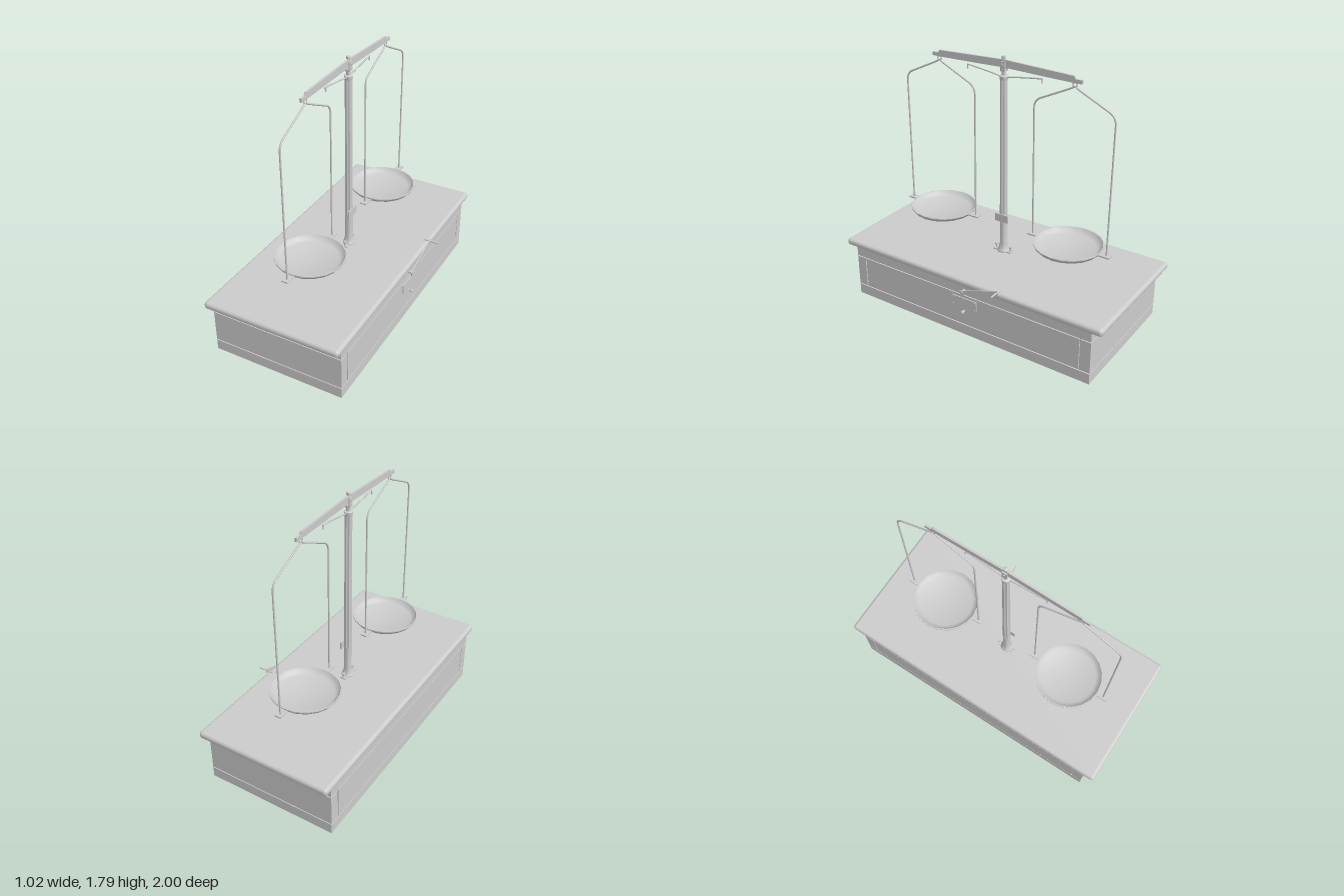
import * as THREE from 'three';
import { toCreasedNormals } from 'three/addons/utils/BufferGeometryUtils.js';
import { RoundedBoxGeometry } from 'three/addons/geometries/RoundedBoxGeometry.js';

const V = (x, y, z) => new THREE.Vector3(x, y, z);
const CX = -0.037; // x of the column and beam plane

export function createModel() {
  const root = new THREE.Group();
  const mat = new THREE.MeshStandardMaterial({ color: 0xcccccc });
  const thin = new THREE.MeshStandardMaterial({ color: 0xcccccc, side: THREE.DoubleSide });

  function add(name, geo, x = 0, y = 0, z = 0, parent = root, material = mat) {
    const m = new THREE.Mesh(geo, material);
    m.name = name;
    m.position.set(x, y, z);
    parent.add(m);
    return m;
  }
  const box = (name, x0, x1, y0, y1, z0, z1, parent) =>
    add(name, new THREE.BoxGeometry(x1 - x0, y1 - y0, z1 - z0),
      (x0 + x1) / 2, (y0 + y1) / 2, (z0 + z1) / 2, parent);
  const lathe = (pts, seg) => toCreasedNormals(
    new THREE.LatheGeometry(pts.map(p => new THREE.Vector2(...p)), seg), 0.6);
  // rod with its axis along x
  const pinX = (name, r, x0, x1, y, z) => {
    const g = new THREE.CylinderGeometry(r, r, x1 - x0, 12);
    g.rotateZ(Math.PI / 2);
    return add(name, g, (x0 + x1) / 2, y, z);
  };

  // Cabinet: recessed core, with bands and framed panels leaving fine grooves
  const cabinet = new THREE.Group();
  cabinet.name = 'cabinet';
  root.add(cabinet);
  const X0 = -0.5, X1 = 0.42, Z = 0.925;
  box('cabinetCore', X0 + 0.008, X1 - 0.008, 0.002, 0.385, -Z + 0.008, Z - 0.008, cabinet);
  box('plinthBand', X0, X1, 0, 0.073, -Z, Z, cabinet);
  box('upperBand', X0, X1, 0.308, 0.385, -Z, Z, cabinet);
  box('middlePanel', X0, X1, 0.08, 0.301, -0.847, 0.847, cabinet);
  for (const s of [-1, 1]) {
    const a = s * 0.854, b = s * Z;
    box('cornerStile', X0, X1, 0.08, 0.301, Math.min(a, b), Math.max(a, b), cabinet);
  }
  add('topSlab', new RoundedBoxGeometry(0.955, 0.05, 2, 4, 0.022), -0.0375, 0.4, 0);

  // Column: turned foot, fluted shaft and cap
  add('columnFoot', lathe([[0, 0.42], [0.042, 0.42], [0.042, 0.434], [0.036, 0.442],
    [0.03, 0.465], [0.026, 0.485], [0.026, 0.66], [0, 0.66]], 24), CX);
  const shaft = new THREE.CylinderGeometry(0.024, 0.027, 1, 64, 1);
  const p = shaft.attributes.position;
  for (let i = 0; i < p.count; i++) {
    const a = Math.atan2(p.getZ(i), p.getX(i));
    const k = 0.91 + 0.09 * Math.cos(8 * a);
    p.setXYZ(i, p.getX(i) * k, p.getY(i), p.getZ(i) * k);
  }
  add('flutedShaft', toCreasedNormals(shaft, 0.6), CX, 1.145, 0);
  add('columnCap', lathe([[0, 1.635], [0.026, 1.635], [0.028, 1.645], [0.028, 1.658],
    [0.015, 1.664], [0.012, 1.7], [0, 1.7]], 24), CX);
  box('scalePlate', -0.016, -0.008, 0.652, 0.706, -0.05, 0.05);

  // Foot bolts
  box('footPlate', CX - 0.022, CX + 0.022, 0.424, 0.432, -0.068, 0.068);
  for (const s of [-1, 1]) {
    add('footBolt', lathe([[0, 0.424], [0.006, 0.424], [0.006, 0.452], [0.011, 0.452],
      [0.011, 0.465], [0, 0.465]], 12), CX, 0, s * 0.056);
  }

  // Beam: long tapered plate with stepped ends
  const right = [[0, 1.762], [0.1, 1.758], [0.495, 1.744], [0.505, 1.726], [0.55, 1.726],
    [0.55, 1.702], [0.48, 1.702], [0.3, 1.705], [0, 1.712]];
  const outline = [...right, ...right.slice(1, -1).reverse().map(([z, y]) => [-z, y])];
  const beamGeo = new THREE.ExtrudeGeometry(
    new THREE.Shape(outline.map(q => new THREE.Vector2(...q))), { depth: 0.014, bevelEnabled: false });
  beamGeo.translate(0, 0, -0.007);
  beamGeo.rotateY(Math.PI / 2);
  add('beam', beamGeo, CX);

  // Pivot fork, knife edge and finial
  for (const s of [-1, 1]) {
    box('pivotCheek', CX + s * 0.014 - 0.004, CX + s * 0.014 + 0.004, 1.69, 1.752, -0.018, 0.018);
  }
  box('pivotBridge', CX - 0.018, CX + 0.018, 1.688, 1.698, -0.018, 0.018);
  pinX('pivotPin', 0.006, CX - 0.025, CX + 0.025, 1.733, 0);
  add('finial', lathe([[0, 1.755], [0.008, 1.755], [0.008, 1.765], [0.014, 1.768],
    [0.014, 1.782], [0.007, 1.787], [0, 1.789]], 16), CX);

  for (const s of [-1, 1]) {
    // Stop arm beneath the beam
    const armPath = new THREE.CatmullRomCurve3([V(CX, 1.648, s * 0.015), V(CX, 1.66, s * 0.07),
      V(CX, 1.674, s * 0.17), V(CX, 1.687, s * 0.278)]);
    add('stopArm', new THREE.TubeGeometry(armPath, 16, 0.005, 8));
    add('stopArmTip', new THREE.CylinderGeometry(0.005, 0.005, 0.03, 8), CX, 1.673, s * 0.275);

    // Pan assembly
    const pan = new THREE.Group();
    pan.name = 'panAssembly';
    pan.position.set(CX, 0, s * 0.5);
    root.add(pan);
    add('panDish', lathe([[0, 0.595], [0.19, 0.595], [0.212, 0.606], [0.23, 0.628],
      [0.23, 0.636], [0.222, 0.636], [0.205, 0.613], [0.185, 0.604], [0, 0.604]], 20),
      0, 0, 0, pan, thin);
    // Hanging loop hooked over the beam end
    add('hangerHook', new THREE.TorusGeometry(0.014, 0.004, 8, 16), 0, 1.69, 0, pan)
      .rotation.y = Math.PI / 2;
    for (const t of [-1, 1]) {
      const path = new THREE.CurvePath();
      const pts = [V(0, 1.682, 0), V(0, 1.655, t * 0.045), V(0, 1.565, t * 0.235),
        V(0, 1.5, t * 0.277), V(0, 0.62, t * 0.27)];
      path.add(new THREE.QuadraticBezierCurve3(pts[0], V(0, 1.667, t * 0.018), pts[1]));
      path.add(new THREE.QuadraticBezierCurve3(pts[1], V(0, 1.605, t * 0.15), pts[2]));
      path.add(new THREE.QuadraticBezierCurve3(pts[2], V(0, 1.545, t * 0.275), pts[3]));
      path.add(new THREE.LineCurve3(pts[3], pts[4]));
      add('hangerRod', new THREE.TubeGeometry(path, 60, 0.006, 8), 0, 0, 0, pan);
      box('hangerTab', -0.023, 0.023, 0.618, 0.627,
        t > 0 ? 0.215 : -0.3, t > 0 ? 0.3 : -0.215, pan);
    }
  }

  // Release lever on the side of the cabinet
  pinX('leverPivot', 0.011, 0.41, 0.455, 0.34, 0);
  const lever = add('releaseLever', new THREE.BoxGeometry(0.007, 0.03, 0.31), 0.446, 0.382, -0.132);
  lever.rotation.x = 0.325;
  pinX('leverHandle', 0.006, 0.405, 0.51, 0.43, -0.27);

  // Keeper plate with corner screws and knob
  box('keeperPlate', 0.415, 0.427, 0.212, 0.283, -0.095, 0.095);
  for (const z of [-0.086, 0.086]) {
    for (const y of [0.221, 0.274]) pinX('plateScrew', 0.005, 0.42, 0.431, y, z);
  }
  const knob = add('sideKnob', lathe([[0, 0], [0.006, 0], [0.006, 0.02], [0.011, 0.026],
    [0.011, 0.036], [0.005, 0.042], [0, 0.042]], 16), 0.415, 0.186, 0);
  knob.rotation.z = -Math.PI / 2;

  return root;
}
